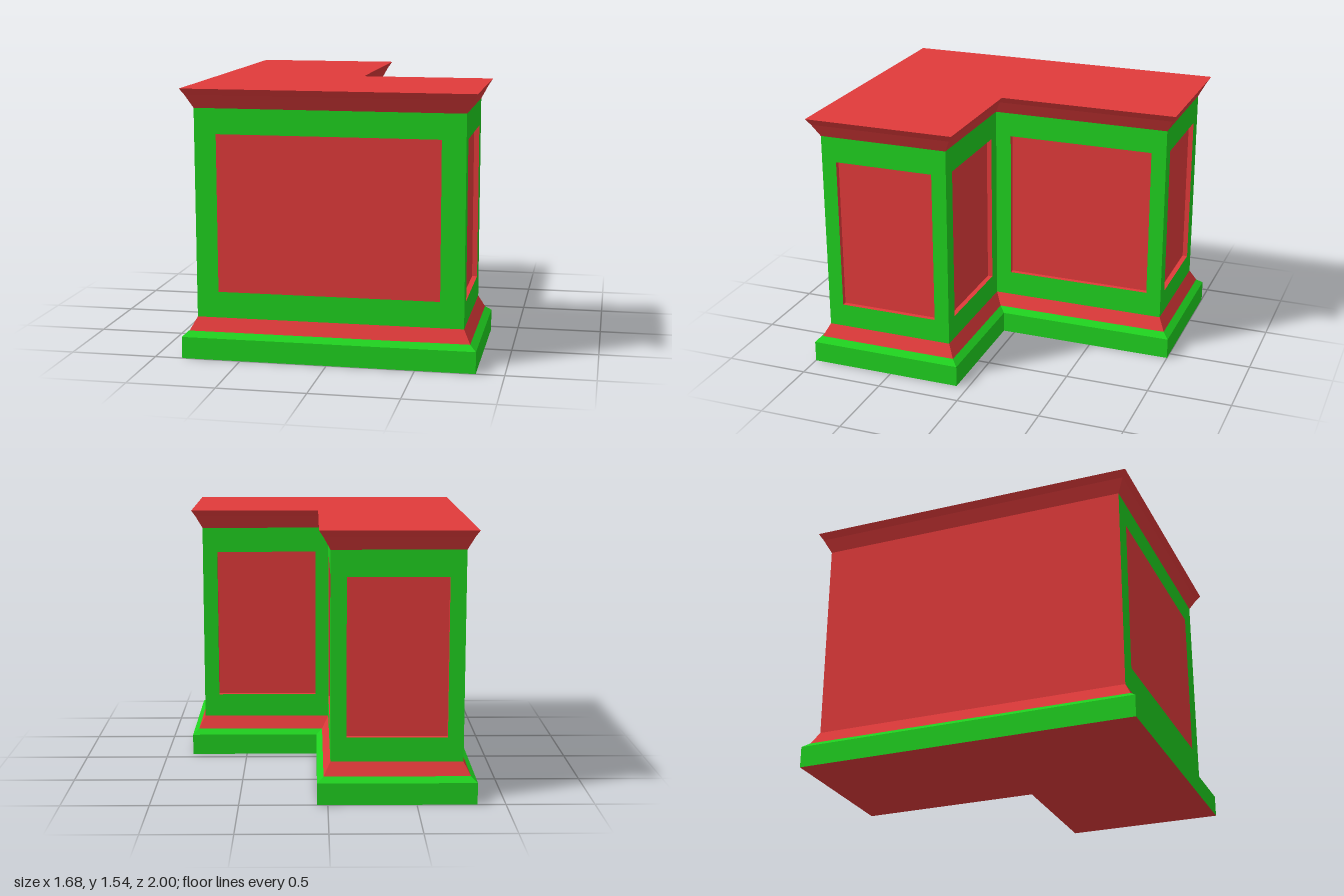
import * as THREE from 'three';

const red = new THREE.MeshStandardMaterial({ color: 0xe03a3a });
const green = new THREE.MeshStandardMaterial({ color: 0x1fd01f });

// L-shaped outline, inset by o with mitred corners, as [x, z]
const outline = (o) => [
  [-0.84 + o, 1 - o], [0.84 - o, 1 - o], [0.84 - o, 0.07 + o],
  [0.06 - o, 0.07 + o], [0.06 - o, -1 + o], [-0.84 + o, -1 + o],
];

function mesh(name, geometry, material) {
  const m = new THREE.Mesh(geometry, material);
  m.name = name;
  return m;
}

// Flat-shaded geometry from four-cornered faces
function quads(list) {
  const pos = list.flatMap(([a, b, c, d]) => [a, b, c, a, c, d].flat());
  const g = new THREE.BufferGeometry();
  g.setAttribute('position', new THREE.Float32BufferAttribute(pos, 3));
  g.computeVertexNormals();
  return g;
}

// Moulding running round the outline between two [inset, height] levels
function band([o0, y0], [o1, y1]) {
  const lo = outline(o0), hi = outline(o1);
  return quads(lo.map((p, i) => {
    const j = (i + 1) % lo.length;
    return [[p[0], y0, p[1]], [lo[j][0], y0, lo[j][1]], [hi[j][0], y1, hi[j][1]], [hi[i][0], y1, hi[i][1]]];
  }));
}

// Horizontal cap facing up (1) or down (-1)
function cap(o, y, up) {
  const shape = new THREE.Shape(outline(o).map(([x, z]) => new THREE.Vector2(x, -z * up)));
  return new THREE.ShapeGeometry(shape).rotateX(-up * Math.PI / 2).translate(0, y, 0);
}

const INSET = 0.075, WALL_LOW = 0.23, WALL_HIGH = 1.43;
const rect = (x0, x1, y0, y1) => [[x0, y0], [x1, y0], [x1, y1], [x0, y1]];
const vectors = (pts) => pts.map(([x, y]) => new THREE.Vector2(x, y));

// One wall: a frame around a panel, which may be recessed
function wall(name, a, b, panel) {
  const group = new THREE.Group();
  group.name = name;
  const dx = b[0] - a[0], dz = b[1] - a[1], length = Math.hypot(dx, dz);
  const shape = new THREE.Shape(vectors(rect(0, length, WALL_LOW, WALL_HIGH)));
  if (panel) {
    const [x0, x1, y0, y1, depth] = panel;
    const c = rect(x0, x1, y0, y1);
    shape.holes.push(new THREE.Path(vectors(c)));
    group.add(mesh('frame', new THREE.ShapeGeometry(shape), green));
    group.add(mesh('panel', quads([c.map(([x, y]) => [x, y, -depth])]), red));
    if (depth > 0) {
      group.add(mesh('panelReveal', quads(c.map((p, i) => {
        const q = c[(i + 1) % 4];
        return [[...p, 0], [...q, 0], [...q, -depth], [...p, -depth]];
      })), red));
    }
  } else {
    group.add(mesh('plainWall', new THREE.ShapeGeometry(shape), red));
  }
  group.position.set(a[0], 0, a[1]);
  group.rotation.y = Math.atan2(-dz, dx);
  return group;
}

export function createModel() {
  const model = new THREE.Group();
  model.name = 'cornerCounter';

  // Plinth and lower moulding
  model.add(mesh('underside', cap(0, 0, -1), red));
  model.add(mesh('plinth', band([0, 0], [0, 0.125]), green));
  model.add(mesh('plinthBevel', band([0, 0.125], [0.036, 0.155]), green));
  model.add(mesh('baseMoulding', band([0.036, 0.155], [INSET, WALL_LOW]), red));

  // Walls: [name, panel as left, right, bottom, top, depth]
  const walls = [
    ['frontWall', [0.125, 1.395, 0.38, 1.285, 0]],
    ['shortWingEnd', [0.09, 0.69, 0.37, 1.28, 0.03]],
    ['shortWingInnerWall', [0.09, 0.7, 0.37, 1.28, 0.03]],
    ['longWingInnerWall', [0.095, 0.98, 0.38, 1.285, 0.03]],
    ['longWingEnd', [0.09, 0.66, 0.37, 1.28, 0.03]],
    ['rightWall', null],
  ];
  const corners = outline(INSET);
  walls.forEach(([name, panel], i) => {
    model.add(wall(name, corners[i], corners[(i + 1) % 6], panel));
  });

  // Flared crown and countertop
  model.add(mesh('crownLower', band([INSET, WALL_HIGH], [0.036, 1.505]), red));
  model.add(mesh('crownUpper', band([0.036, 1.505], [0.012, 1.543]), red));
  model.add(mesh('countertop', cap(0.012, 1.543, 1), red));
  return model;
}
